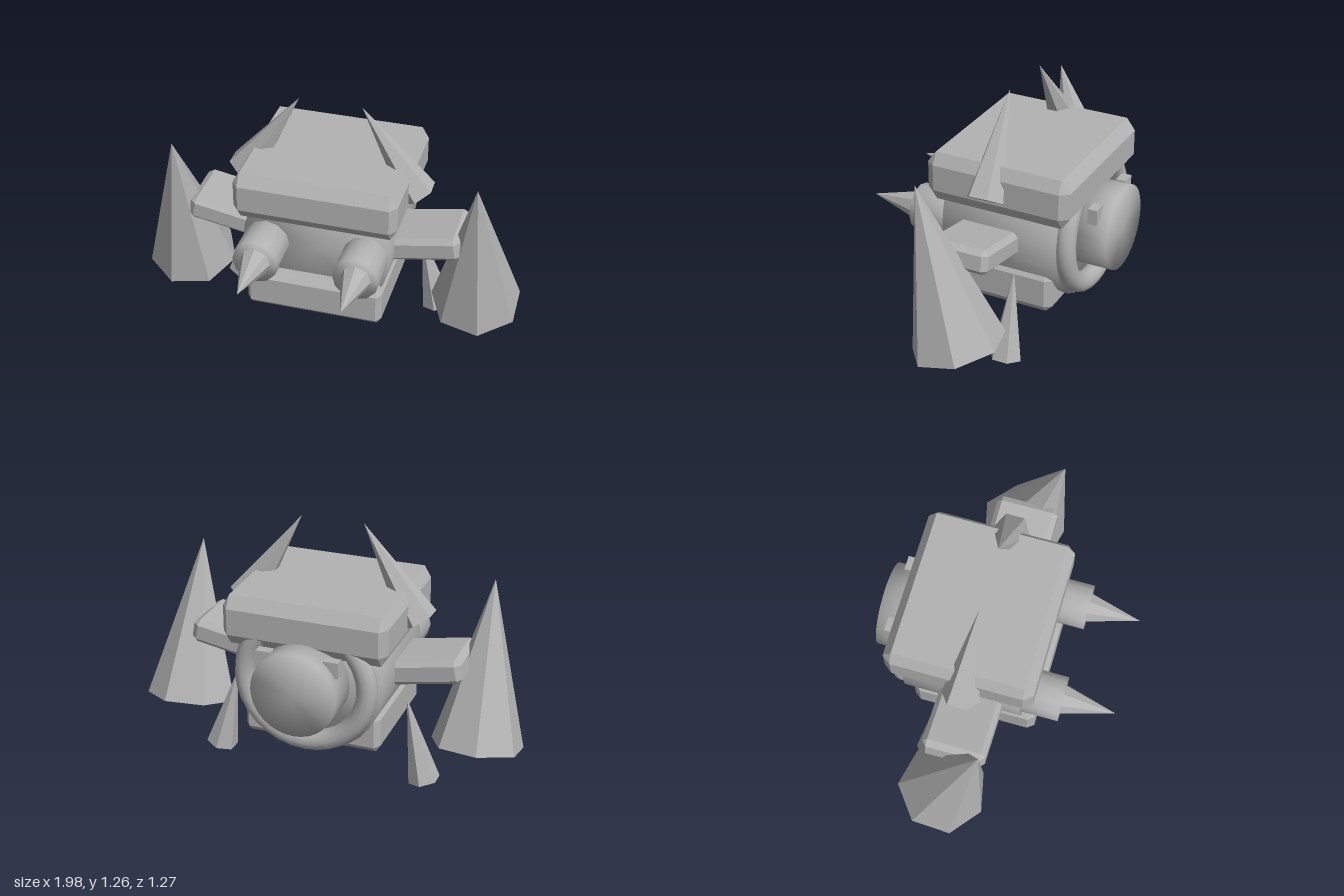
import * as THREE from 'three';
import { mergeVertices } from 'three/addons/utils/BufferGeometryUtils.js';
import { ConvexGeometry } from 'three/addons/geometries/ConvexGeometry.js';

const grey = new THREE.MeshStandardMaterial({ color: 0xb2b2b2 });
grey.name = 'plain grey';

export function createModel() {
  const model = new THREE.Group();
  model.name = 'hornedCrawler';

  function add(name, geometry, x = 0, y = 0, z = 0) {
    const mesh = new THREE.Mesh(geometry, grey);
    mesh.name = name;
    mesh.position.set(x, y, z);
    model.add(mesh);
    return mesh;
  }

  // Faceted look baked into the normals, so one material serves every part
  function faceted(geometry) {
    const g = geometry.toNonIndexed();
    g.computeVertexNormals();
    return g;
  }

  // Box with chamfered edges: three points at each corner, bevel given per axis
  function chamferBox(w, h, d, bx, by, bz) {
    const points = [];
    for (const sx of [-1, 1]) for (const sy of [-1, 1]) for (const sz of [-1, 1]) {
      const X = w / 2, Y = h / 2, Z = d / 2;
      points.push(
        new THREE.Vector3(sx * X, sy * (Y - by), sz * (Z - bz)),
        new THREE.Vector3(sx * (X - bx), sy * Y, sz * (Z - bz)),
        new THREE.Vector3(sx * (X - bx), sy * (Y - by), sz * Z));
    }
    return new ConvexGeometry(points);
  }

  // Drum along z whose normals are averaged over the rim, giving soft shading
  function drum(radius, zBack, zFront, sides) {
    let g = new THREE.CylinderGeometry(radius, radius, zFront - zBack, sides);
    g.rotateX(Math.PI / 2);
    g.translate(0, 0, (zBack + zFront) / 2);
    g.deleteAttribute('normal');
    g.deleteAttribute('uv');
    g = mergeVertices(g, 1e-4);
    g.computeVertexNormals();
    return g;
  }

  // Faceted cone from a base centre to a tip
  function spike(name, base, tip, radius, sides, turn = 0) {
    const from = new THREE.Vector3(...base);
    const axis = new THREE.Vector3(...tip).sub(from);
    const length = axis.length();
    const g = new THREE.ConeGeometry(radius, length, sides, 1, false, turn);
    g.translate(0, length / 2, 0);
    const mesh = add(name, faceted(g), ...base);
    mesh.quaternion.setFromUnitVectors(new THREE.Vector3(0, 1, 0), axis.normalize());
  }

  // Body
  add('body', drum(0.382, -0.44, 0.17, 32), 0, 0.567, 0);
  add('upperSlab', chamferBox(0.84, 0.255, 0.76, 0.035, 0.06, 0.045), 0, 0.842, -0.14);
  add('lowerSlab', chamferBox(0.71, 0.215, 0.65, 0.025, 0.035, 0.035), 0, 0.303, -0.085);

  // Rear ring and hatch
  add('rearRing', new THREE.TorusGeometry(0.315, 0.052, 12, 32), 0, 0.567, -0.468);
  add('rearHatch', drum(0.217, -0.636, -0.44, 32), 0, 0.57, 0);

  for (const s of [-1, 1]) {
    const side = s > 0 ? 'left' : 'right';

    // Hatch lug
    add(side + 'HatchLug', faceted(new THREE.BoxGeometry(0.075, 0.08, 0.05)), s * 0.172, 0.71, -0.557);

    // Eye barrel with pointed centre
    add(side + 'Eye', drum(0.118, 0.1, 0.365, 12), s * 0.257, 0.57, 0);
    spike(side + 'EyeSpike', [s * 0.257, 0.57, 0.36], [s * 0.257, 0.57, 0.636], 0.08, 8);

    // Arm and large claw
    const arm = add(side + 'Arm', chamferBox(0.43, 0.125, 0.325, 0.03, 0.025, 0.025), s * 0.5, 0.585, -0.083);
    arm.rotation.z = s * 0.18;
    spike(side + 'Claw', [s * 0.778, 0.19, -0.13], [s * 0.78, 1, 0.08], 0.236, 7, -s * Math.PI / 2);

    // Horn and foot
    spike(side + 'Horn', [s * 0.455, 0.81, -0.108], [s * 0.16, 1.267, -0.09], 0.097, 6);
    spike(side + 'Foot', [s * 0.55, 0.021, -0.268], [s * 0.45, 0.455, -0.262], 0.081, 6);
  }

  return model;
}
